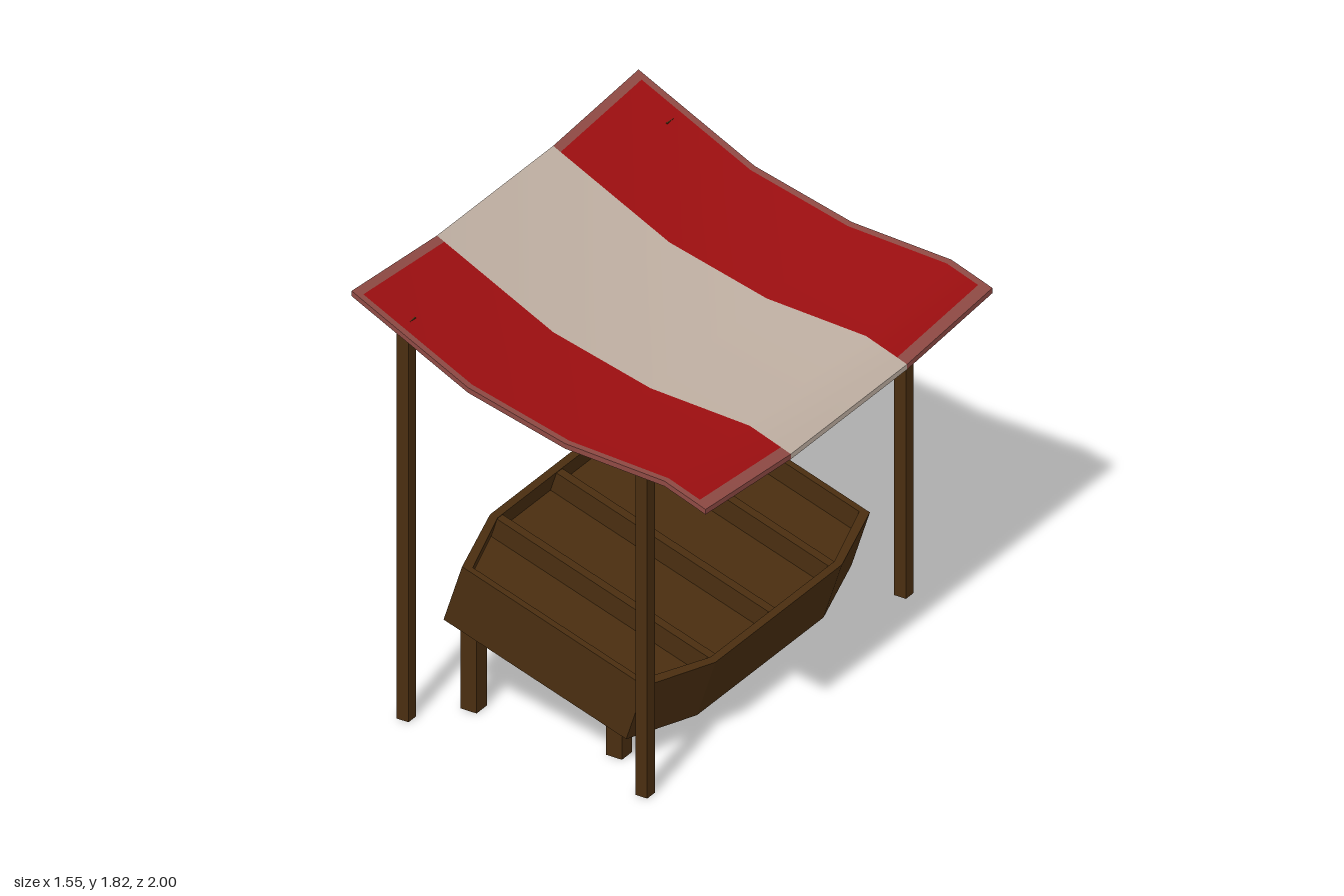
import * as THREE from 'three';

const mat = (name, color) => {
  const m = new THREE.MeshStandardMaterial({ color });
  m.name = name;
  return m;
};

export function createModel() {
  const wood = mat('dark wood', 0x4a2e10);
  const red = mat('red cloth', 0x9c0e10);
  const cream = mat('cream cloth', 0xbfafa2);
  const hem = mat('faded hem', 0x8f4a44);
  const model = new THREE.Group();
  const midZ = 0.0125;

  const add = (parent, name, geometry, material, x = 0, y = 0, z = 0) => {
    const mesh = new THREE.Mesh(geometry, material);
    mesh.name = name;
    mesh.position.set(x, y, z);
    parent.add(mesh);
    return mesh;
  };

  // Canopy posts and short crate legs, standing on the ground
  const upright = (name, width, x, height, z) =>
    add(model, name, new THREE.BoxGeometry(width, height, width), wood, x, height / 2, midZ + z);
  for (const s of [-1, 1]) {
    upright('tallPost', 0.053, -0.595, 1.712, s * 0.89);
    upright('shortPost', 0.053, 0.462, 1.412, s * 0.89);
    upright('tallLeg', 0.072, -0.427, 0.41, s * 0.688);
    upright('shortLeg', 0.07, 0.217, 0.21, s * 0.688);
  }

  // Tilted display crate with an eight-sided outline
  const crate = new THREE.Group();
  crate.name = 'crate';
  crate.position.set(-0.1, 0.261, midZ);
  crate.rotation.z = -0.314;
  model.add(crate);
  const outline = (inset) => {
    const x = 0.525 - inset, cx = 0.425 - inset, z = 0.775 - inset, cz = 0.435 - inset * 0.3;
    return [[x, -cz], [x, cz], [cx, z], [-cx, z], [-x, cz], [-x, -cz], [-cx, -z], [cx, -z]]
      .map(([a, b]) => new THREE.Vector2(a, b));
  };
  const slab = (shape, depth) =>
    new THREE.ExtrudeGeometry(shape, { depth, bevelEnabled: false }).rotateX(-Math.PI / 2);
  const height = 0.265, floor = 0.175;
  const rim = new THREE.Shape(outline(0));
  rim.holes.push(new THREE.Path(outline(0.03)));
  add(crate, 'crateBase', slab(new THREE.Shape(outline(0)), floor), wood);
  add(crate, 'crateRim', slab(rim, height - floor), wood, 0, floor, 0);
  for (const z of [-0.41, 0, 0.41]) {
    add(crate, 'divider', new THREE.BoxGeometry(1.0, height - floor - 0.004, 0.04), wood,
      0, (height + floor) / 2 - 0.002, z);
  }

  // Sagging canopy: a thin striped sheet swept along a bent profile
  const profile = [[-0.775, 1.82], [-0.742, 1.8035], [-0.26, 1.565], [0.17, 1.458],
    [0.61, 1.433], [0.735, 1.3705], [0.775, 1.35]];
  const rows = [-0.987, -0.957, -0.4, 0.4, 0.957, 0.987];
  const thickness = 0.022;
  const point = (i, j, drop) => {
    const [x, y] = profile[i];
    const sag = 0.045 * Math.min(1, (0.987 - Math.abs(rows[j])) / 0.587);
    const skew = Math.max(0, x - 0.61) / 0.165 * -0.026;
    return [x, y - sag - drop, rows[j] + midZ + skew];
  };
  const nx = profile.length, nz = rows.length;
  const cellMaterial = (i, j) => {
    if (j === 2) return 1;
    return i === 0 || i === nx - 2 || j === 0 || j === nz - 2 ? 2 : 0;
  };
  const positions = [], indices = [], groups = [];
  const quad = (a, b, c, d, material) => {
    groups.push([indices.length, material]);
    indices.push(a, b, c, a, c, d);
  };
  // Upper and lower faces
  for (const drop of [0, thickness]) {
    const base = positions.length / 3;
    for (let i = 0; i < nx; i++) for (let j = 0; j < nz; j++) positions.push(...point(i, j, drop));
    for (let i = 0; i < nx - 1; i++) for (let j = 0; j < nz - 1; j++) {
      const a = base + i * nz + j, b = a + 1, c = b + nz, d = a + nz;
      if (drop) quad(a, d, c, b, cellMaterial(i, j));
      else quad(a, b, c, d, cellMaterial(i, j));
    }
  }
  // Edge faces around the border
  const edge = (p, q, material) => {
    const n = positions.length / 3;
    positions.push(...point(...p, 0), ...point(...q, 0), ...point(...q, thickness), ...point(...p, thickness));
    quad(n, n + 3, n + 2, n + 1, material);
  };
  for (let i = 0; i < nx - 1; i++) {
    edge([i, nz - 1], [i + 1, nz - 1], 2);
    edge([i + 1, 0], [i, 0], 2);
  }
  for (let j = 0; j < nz - 1; j++) {
    const material = j === 2 ? 1 : 2;
    edge([0, j], [0, j + 1], material);
    edge([nx - 1, j + 1], [nx - 1, j], material);
  }
  const sheet = new THREE.BufferGeometry();
  sheet.setAttribute('position', new THREE.Float32BufferAttribute(positions, 3));
  sheet.setIndex(indices);
  for (const [start, material] of groups) sheet.addGroup(start, 6, material);
  sheet.computeVertexNormals();
  add(model, 'canopy', sheet, [red, cream, hem]);

  return model;
}
